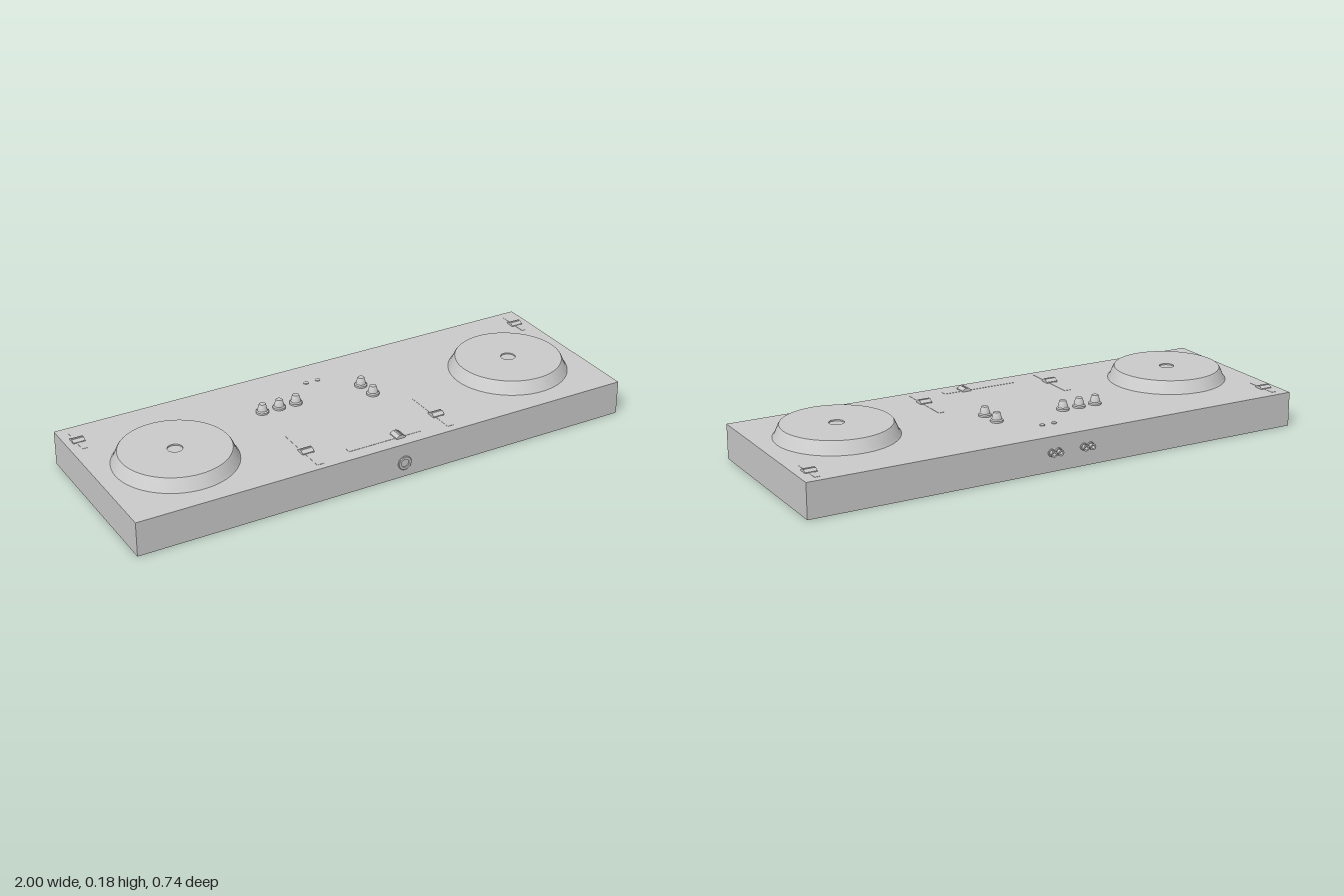
import * as THREE from 'three';
import { toCreasedNormals } from 'three/addons/utils/BufferGeometryUtils.js';

const TOP = 0.133;
const BACK = -0.347;
const FRONT = 0.362;

export function createModel() {
  const root = new THREE.Group();
  const material = new THREE.MeshStandardMaterial({ color: 0xcccccc });

  function add(name, geometry, x, y, z, parent = root) {
    const mesh = new THREE.Mesh(geometry, material);
    mesh.name = name;
    mesh.position.set(x, y, z);
    parent.add(mesh);
    return mesh;
  }

  // Revolved solid from [radius, height] pairs, with sharp steps kept
  function turned(points, segments) {
    const profile = points.map(([r, h]) => new THREE.Vector2(r, h));
    return toCreasedNormals(new THREE.LatheGeometry(profile, segments), 0.5);
  }

  // Casing
  add('casing', new THREE.BoxGeometry(2, TOP, FRONT - BACK), 0, TOP / 2, (FRONT + BACK) / 2);

  // Jog wheels: sloped skirt, slim rim bevel, flat plate with a centre dimple
  const wheel = turned([
    [0.229, 0], [0.222, 0.01], [0.208, 0.042], [0.204, 0.047],
    [0.028, 0.047], [0.028, 0.042], [0, 0.042],
  ], 64);
  for (const side of [-1, 1]) {
    add(side < 0 ? 'rightJogWheel' : 'leftJogWheel', wheel, side * 0.705, TOP, 0.052);
  }

  // Rotary knobs: wide foot and tapering grip
  const knob = turned([
    [0.024, 0], [0.024, 0.007], [0.019, 0.011], [0.014, 0.033], [0.012, 0.036], [0, 0.036],
  ], 24);
  for (const [x, z] of [[-0.28, -0.1], [-0.21, -0.1], [-0.14, -0.1], [0.14, -0.1], [0.145, -0.02]]) {
    add('knob', knob, x, TOP, z);
  }

  // Push buttons
  const button = turned([[0.01, 0], [0.01, 0.003], [0.008, 0.004], [0, 0.004]], 16);
  for (const x of [-0.03, 0.02]) add('button', button, x, TOP, -0.22);

  // Fader cap: a ridged wedge profile extruded across the travel
  function capGeometry(width, height) {
    const shape = new THREE.Shape();
    const half = [[0.019, 0], [0.019, 0.3], [0.008, 0.85], [0.006, 1], [0.003, 1], [0.002, 0.85]];
    half.forEach(([u, v], i) => (i ? shape.lineTo(u, v * height) : shape.moveTo(u, 0)));
    half.slice().reverse().forEach(([u, v]) => shape.lineTo(-u, v * height));
    shape.closePath();
    const geometry = new THREE.ExtrudeGeometry(shape, { depth: width, bevelEnabled: false });
    geometry.translate(0, 0, -width / 2);
    return geometry;
  }

  // Faders run along local x; upright ones are turned to run along z
  function fader(name, x, z, length, capAt, height, slotWidth, upright) {
    const group = new THREE.Group();
    group.name = name;
    group.position.set(x, TOP, z);
    if (upright) group.rotation.y = -Math.PI / 2;
    add('slot', new THREE.BoxGeometry(length, 0.002, slotWidth), 0, 0, 0, group);
    add('cap', capGeometry(0.046, height), capAt, 0, 0, group);
    root.add(group);
  }
  fader('rightChannelFader', -0.28, 0.215, 0.24, 0.015, 0.014, 0.026, true);
  fader('leftChannelFader', 0.265, 0.21, 0.24, 0.022, 0.014, 0.026, true);
  fader('crossfader', 0, 0.297, 0.3, 0.06, 0.014, 0.026, false);
  fader('rightPitchFader', -0.95, -0.248, 0.135, 0, 0.011, 0.02, true);
  fader('leftPitchFader', 0.945, -0.248, 0.135, 0, 0.011, 0.02, true);

  // Headphone socket on the front: flange with a recessed hole
  const socket = turned([
    [0.027, 0], [0.027, 0.004], [0.025, 0.006], [0.016, 0.006], [0.016, 0.001], [0, 0.001],
  ], 32);
  add('headphoneSocket', socket, 0.05, 0.057, FRONT).rotation.x = Math.PI / 2;

  // Two pairs of phono sockets on the back
  const phono = turned([
    [0.014, 0], [0.014, 0.006], [0.01, 0.006], [0.01, 0.014], [0.012, 0.014],
    [0.012, 0.021], [0.006, 0.021], [0.006, 0.006], [0, 0.006],
  ], 20);
  for (const x of [-0.106, -0.077, 0.028, 0.057]) {
    add('phonoSocket', phono, x, 0.073, BACK).rotation.x = -Math.PI / 2;
  }

  return root;
}
